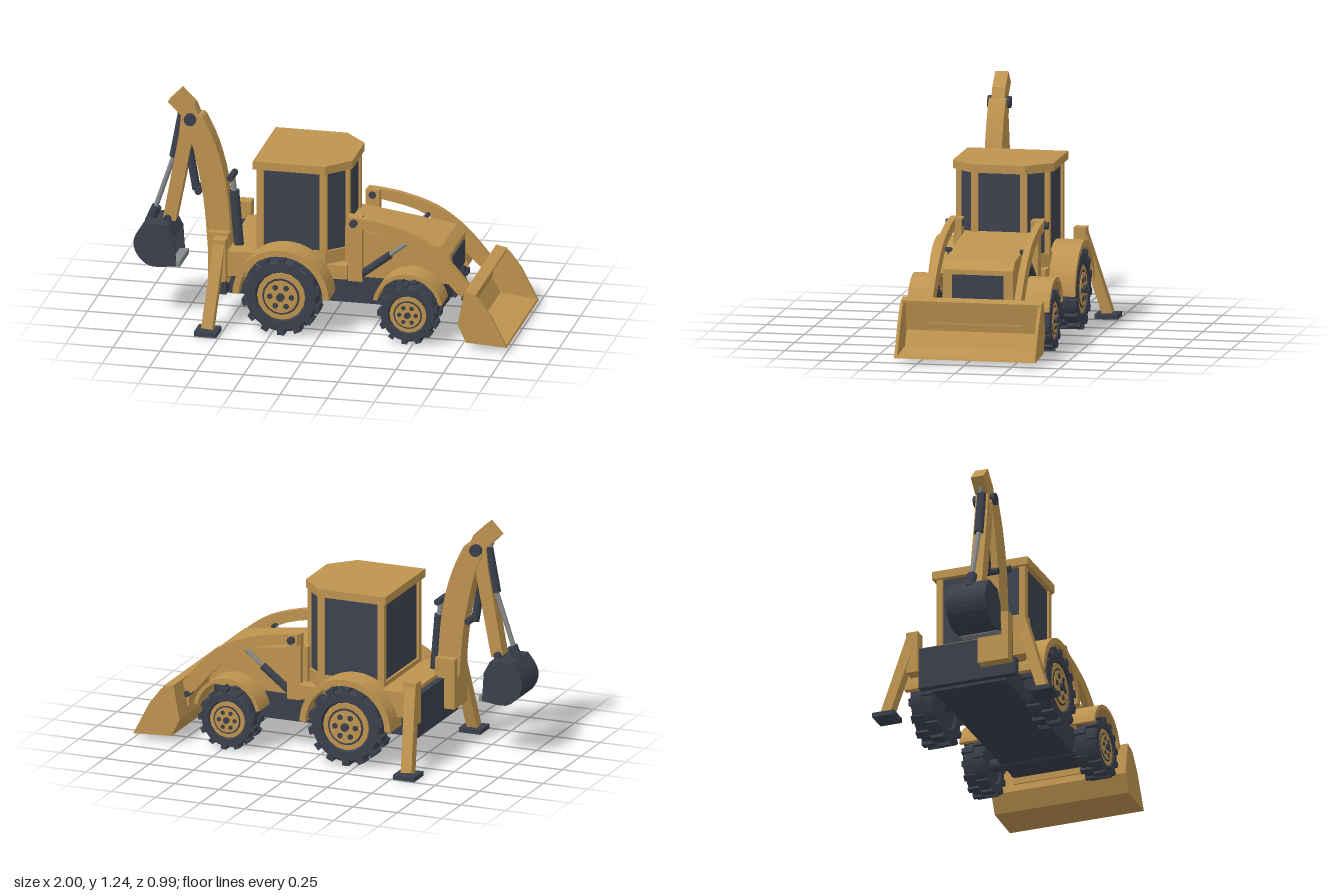
import * as THREE from 'three';
import { toCreasedNormals } from 'three/addons/utils/BufferGeometryUtils.js';

const material = (name, color) => Object.assign(new THREE.MeshStandardMaterial({ color }), { name });
const V = (x, y, z) => new THREE.Vector3(x, y, z);

export function createModel() {
  const yellow = material('ochre paint', 0xbd934f);
  const dark = material('dark slate', 0x3a3f4b);
  const glass = material('tinted glass', 0x3d424e);
  const steel = material('grey steel', 0x85898a);
  const model = new THREE.Group();
  model.name = 'digger';

  const add = (name, geo, mat, parent = model) => {
    const m = new THREE.Mesh(geo, mat);
    m.name = name;
    parent.add(m);
    return m;
  };
  // Box given by its lower and upper limits on each axis
  const box = (name, mat, x0, x1, y0, y1, z0, z1) =>
    add(name, new THREE.BoxGeometry(x1 - x0, y1 - y0, z1 - z0)
      .translate((x0 + x1) / 2, (y0 + y1) / 2, (z0 + z1) / 2), mat);
  // Side outline (x, y) extruded between two z values
  const plate = (name, mat, pts, z0, z1) => {
    const shape = new THREE.Shape(pts.map(p => new THREE.Vector2(p[0], p[1])));
    return add(name, new THREE.ExtrudeGeometry(shape, { depth: z1 - z0, bevelEnabled: false })
      .translate(0, 0, z0), mat);
  };
  // Plan outline (x, z) extruded between two heights
  const slab = (name, mat, pts, y0, y1) => {
    const shape = new THREE.Shape(pts.map(p => new THREE.Vector2(p[0], -p[1])));
    return add(name, new THREE.ExtrudeGeometry(shape, { depth: y1 - y0, bevelEnabled: false })
      .rotateX(-Math.PI / 2).translate(0, y0, 0), mat);
  };
  // Round bar between two points
  const rod = (name, mat, a, b, r, parent) => {
    const d = b.clone().sub(a);
    const m = add(name, new THREE.CylinderGeometry(r, r, d.length(), 16), mat, parent);
    m.position.copy(a).addScaledVector(d, 0.5);
    m.quaternion.setFromUnitVectors(V(0, 1, 0), d.normalize());
    return m;
  };
  const pin = (name, x, y, z0, z1, r) => rod(name, dark, V(x, y, z0), V(x, y, z1), r);
  const ram = (name, a, mid, b, r) => {
    rod(name + 'Barrel', dark, a, mid, r);
    rod(name + 'Rod', steel, mid, b, r * 0.55);
  };
  // Smooth curve through a few outline points
  const smooth = (pts, n) => new THREE.SplineCurve(pts.map(p => new THREE.Vector2(...p)))
    .getPoints(n).map(p => [p.x, p.y]);
  const arc = (cx, cy, r, a0, a1, n = 24) => Array.from({ length: n + 1 }, (_, i) => {
    const a = a0 + (a1 - a0) * i / n;
    return [cx + r * Math.cos(a), cy + r * Math.sin(a)];
  });

  // Chassis and axles
  box('chassis', dark, -0.515, 0.62, 0.145, 0.285, -0.2, 0.2);
  pin('rearAxle', -0.195, 0.215, -0.3, 0.3, 0.04);
  pin('frontAxle', 0.475, 0.16, -0.3, 0.3, 0.035);

  // Wheels with staggered lugs and layered rims
  const wheel = (name, x, R, z, w, lugs, side) => {
    const g = new THREE.Group();
    g.name = name;
    const profile = [[0, -0.42], [0.55, -0.42], [0.6, -0.5], [0.86, -0.5], [0.91, -0.4], [0.91, 0.4],
      [0.86, 0.5], [0.64, 0.5], [0.6, 0.36], [0, 0.36]].map(p => new THREE.Vector2(p[0] * R, p[1] * w));
    add('tyre', toCreasedNormals(new THREE.LatheGeometry(profile, 32).rotateX(Math.PI / 2), 0.5), dark, g);
    for (let i = 0; i < lugs * 2; i++) {
      const a = i * Math.PI / lugs, s = i % 2 ? 1 : -1;
      const lug = add('lug', new THREE.BoxGeometry(R * 0.16, R * 0.18, w * 0.52), dark, g);
      lug.position.set(Math.cos(a) * R * 0.91, Math.sin(a) * R * 0.91, s * w * 0.25);
      lug.rotation.z = a;
    }
    const disc = (n, mat, r, z0, z1, px = 0, py = 0) => rod(n, mat, V(px, py, z0 * w), V(px, py, z1 * w), r * R, g);
    disc('rim', yellow, 0.6, 0.34, 0.45);
    disc('rimGroove', dark, 0.47, 0.44, 0.47);
    disc('hubDisc', yellow, 0.42, 0.46, 0.5);
    disc('hub', dark, 0.1, 0.49, 0.62);
    for (let i = 0; i < 6; i++) {
      const a = i * Math.PI / 3;
      disc('wheelHole', dark, 0.07, 0.49, 0.53, Math.cos(a) * R * 0.27, Math.sin(a) * R * 0.27);
    }
    g.position.set(x, R, side * z);
    if (side < 0) g.rotation.y = Math.PI;
    model.add(g);
  };

  const arch = (name, x, y, r1, r0, a, z0, z1) =>
    plate(name, yellow, [...arc(x, y, r1, a, Math.PI - a), ...arc(x, y, r0, Math.PI - a, a)], z0, z1);

  // Hood and grille
  plate('hood', yellow, [[0.1, 0.28], [0.655, 0.28], [0.655, 0.44], [0.61, 0.48], [0.1, 0.55]], -0.185, 0.185);
  box('grille', dark, 0.654, 0.663, 0.29, 0.415, -0.135, 0.135);

  // Cab: base, glass prism, roof, step
  const plan = (x0, x1, xc, z, zc) => [[x0, z], [xc, z], [x1, zc], [x1, -zc], [xc, -z], [x0, -z]];
  slab('cabBase', yellow, plan(-0.355, 0.115, 0.01, 0.247, 0.145), 0.28, 0.43);
  slab('cabGlass', glass, plan(-0.342, 0.105, 0, 0.236, 0.138), 0.43, 0.86);
  slab('roof', yellow, plan(-0.37, 0.13, 0.01, 0.265, 0.14), 0.858, 0.902);
  box('cabStep', yellow, 0.02, 0.125, 0.285, 0.36, -0.248, 0.248);

  // Rear body
  box('rearBody', yellow, -0.515, -0.35, 0.27, 0.405, -0.285, 0.285);
  box('rearPanel', dark, -0.55, -0.51, 0.16, 0.385, -0.27, 0.27);

  // Lift arm outline
  const armOutline = [
    ...smooth([[0.13, 0.63], [0.2, 0.625], [0.33, 0.605], [0.49, 0.553], [0.61, 0.475], [0.69, 0.4], [0.775, 0.3]], 18),
    ...smooth([[0.765, 0.215], [0.7, 0.265], [0.62, 0.355], [0.52, 0.45], [0.39, 0.528], [0.2, 0.57], [0.13, 0.57]], 18),
  ];

  for (const s of [1, -1]) {
    const nm = n => (s > 0 ? 'left' : 'right') + n;
    const span = (a, b) => s > 0 ? [a, b] : [-b, -a];
    wheel(nm('RearWheel'), -0.195, 0.212, 0.315, 0.135, 14, s);
    wheel(nm('FrontWheel'), 0.475, 0.162, 0.312, 0.12, 13, s);
    arch(nm('RearFender'), -0.195, 0.213, 0.255, 0.222, 0, ...span(0.235, 0.388));
    arch(nm('FrontFender'), 0.475, 0.2, 0.186, 0.166, 0.18, ...span(0.235, 0.375));

    // Cab pillars
    box(nm('RearPillar'), yellow, -0.355, -0.318, 0.42, 0.86, ...span(0.212, 0.247));
    box(nm('MiddlePillar'), yellow, -0.02, 0.018, 0.42, 0.86, ...span(0.212, 0.247));
    box(nm('FrontPillar'), yellow, 0.078, 0.116, 0.42, 0.86, ...span(0.111, 0.147));

    // Lift arm with its post, ram and pins
    box(nm('ArmPost'), yellow, 0.125, 0.2, 0.27, 0.628, ...span(0.182, 0.224));
    plate(nm('LiftArm'), yellow, armOutline, ...span(0.215, 0.25));
    pin(nm('ArmPivot'), 0.162, 0.6, s * 0.18, s * 0.27, 0.02);
    pin(nm('BucketPin'), 0.75, 0.235, s * 0.2, s * 0.263, 0.016);
    ram(nm('LiftRam'), V(0.19, 0.305, s * 0.203), V(0.345, 0.425, s * 0.203), V(0.45, 0.508, s * 0.198), 0.02);
    pin(nm('RamPin'), 0.45, 0.508, s * 0.18, s * 0.225, 0.012);

    // Stabilizer: sleeve, sloping leg, foot
    box(nm('StabilizerSleeve'), yellow, -0.57, -0.5, 0.25, 0.478, ...span(0.265, 0.33));
    const a = V(-0.535, 0.46, s * 0.3), b = V(-0.57, 0.025, s * 0.435), d = a.clone().sub(b);
    const leg = add(nm('StabilizerLeg'), new THREE.BoxGeometry(0.06, d.length(), 0.055), yellow);
    leg.position.copy(a).add(b).multiplyScalar(0.5);
    leg.quaternion.setFromUnitVectors(V(0, 1, 0), d.normalize());
    box(nm('StabilizerFoot'), dark, -0.63, -0.51, 0, 0.025, ...span(0.375, 0.495));

    // Front bucket cheeks
    plate(nm('BucketCheek'), yellow, [[0.775, 0.312], [0.74, 0.13], [0.785, 0.037], [1, 0.025], [0.91, 0.2],
      [0.845, 0.285]], ...span(0.356, 0.372));
  }

  // Front bucket shell, open towards the front
  plate('frontBucketShell', yellow, [[0.835, 0.3], [0.775, 0.312], [0.74, 0.13], [0.785, 0.037], [1, 0.025],
    [0.995, 0.035], [0.8, 0.055], [0.756, 0.135], [0.788, 0.297], [0.833, 0.288]], -0.37, 0.37);
  box('bucketMount', yellow, 0.74, 0.765, 0.17, 0.25, -0.25, 0.25);

  // Rear digging arm, offset to the left of the centre line
  const zc = 0.168;
  box('swingBracket', yellow, -0.61, -0.5, 0.22, 0.49, zc - 0.085, zc + 0.085);
  plate('boom', yellow, [
    ...smooth([[-0.62, 0.39], [-0.645, 0.67], [-0.7, 0.935], [-0.745, 1.06]], 12), [-0.73, 1.11], [-0.655, 1.11],
    ...smooth([[-0.645, 1.1], [-0.58, 0.96], [-0.525, 0.75], [-0.5, 0.48], [-0.5, 0.39]], 12),
  ], zc - 0.045, zc + 0.045);
  plate('dipper', yellow, [[-0.835, 1.17], [-0.77, 1.237], [-0.695, 1.165], [-0.66, 1.08], [-0.7, 1.0],
    [-0.795, 0.515], [-0.86, 0.53], [-0.775, 1.0], [-0.765, 1.1]], zc - 0.035, zc + 0.035);
  pin('elbowPin', -0.713, 1.086, zc - 0.06, zc + 0.06, 0.032);
  ram('boomRam', V(-0.465, 0.4, zc), V(-0.49, 0.7, zc), V(-0.5, 0.78, zc), 0.026);
  pin('boomRamPin', -0.5, 0.78, zc - 0.055, zc + 0.055, 0.018);
  ram('dipperRam', V(-0.69, 0.69, zc), V(-0.73, 0.92, zc), V(-0.79, 1.15, zc), 0.022);
  pin('dipperRamPin', -0.67, 0.695, zc - 0.055, zc + 0.055, 0.018);
  ram('bucketRam', V(-0.765, 1.1, zc), V(-0.81, 0.86, zc), V(-0.915, 0.55, zc), 0.024);
  rod('bucketLink', dark, V(-0.9, 0.58, zc), V(-0.94, 0.49, zc), 0.026);
  pin('dipperFootPin', -0.835, 0.53, zc - 0.055, zc + 0.055, 0.02);

  // Digging bucket: cheeks and a curved shell open towards the machine
  const outer = [[-0.785, 0.45], [-0.82, 0.515],
    ...smooth([[-0.94, 0.52], [-0.985, 0.46], [-1, 0.4], [-0.97, 0.33], [-0.9, 0.285], [-0.775, 0.297]], 14)];
  const inner = outer.map(([x, y]) => [-0.88 + (x + 0.88) * 0.9, 0.4 + (y - 0.4) * 0.9]).reverse();
  inner[0] = [-0.775, 0.31];
  inner[inner.length - 1] = [-0.797, 0.447];
  plate('digBucketShell', dark, [...outer, ...inner], zc - 0.11, zc + 0.11);
  for (const z of [zc - 0.11, zc + 0.096]) plate('digBucketCheek', dark, outer, z, z + 0.014);
  box('digBucketLip', steel, -0.8, -0.755, 0.29, 0.322, zc - 0.105, zc + 0.105);

  return model;
}
